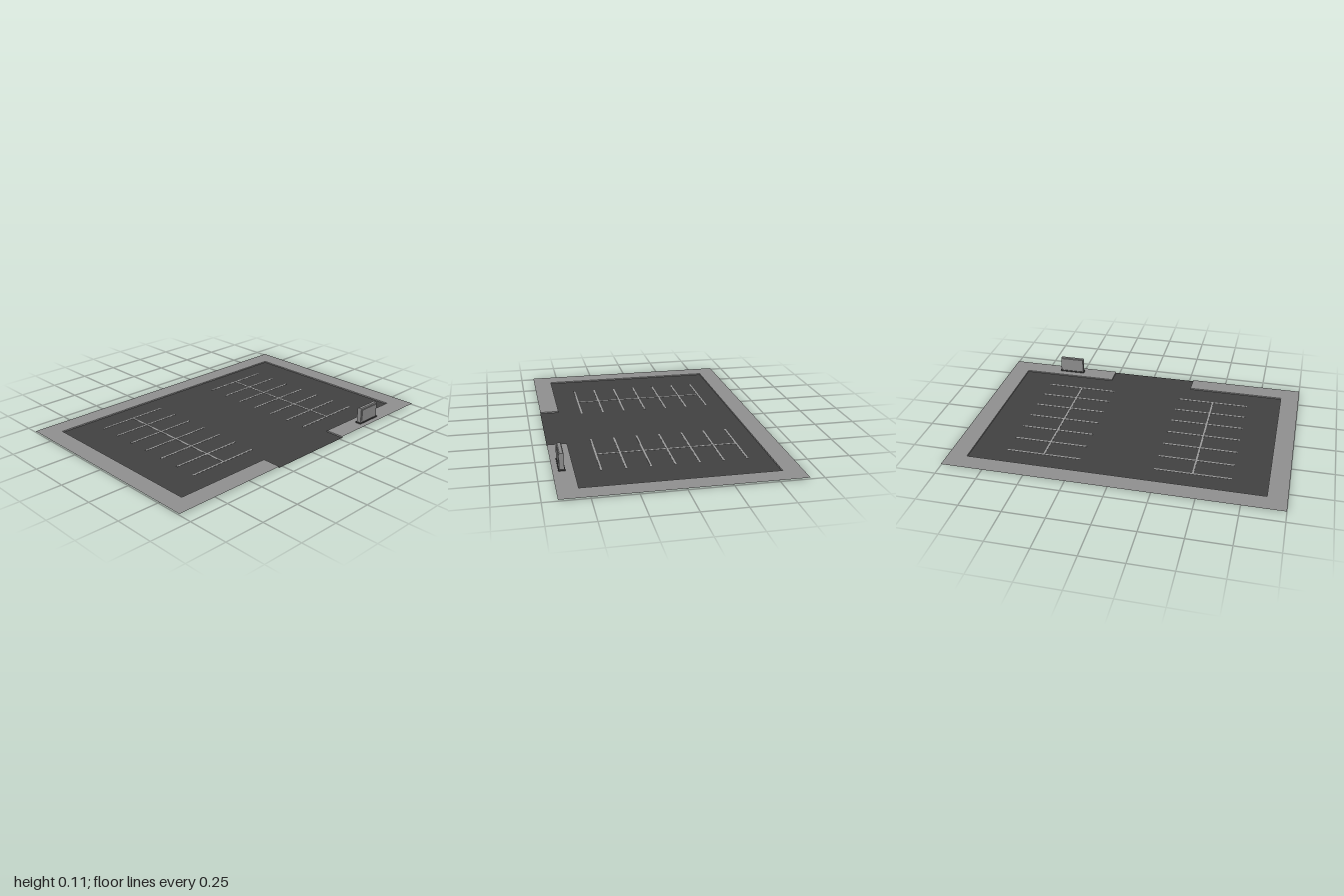
import * as THREE from 'three';

export function createModel() {
  const lot = new THREE.Group();
  lot.name = 'parkingLot';

  const material = (name, color, side = THREE.FrontSide) => {
    const m = new THREE.MeshStandardMaterial({ color, side });
    m.name = name;
    return m;
  };
  const concrete = material('concrete', 0x8e8e8e, THREE.DoubleSide);
  const asphalt = material('asphalt', 0x404040, THREE.DoubleSide);
  const paint = material('linePaint', 0x989898);
  const stone = material('signStone', 0x8a8a8a);
  const dark = material('signBase', 0x404040);

  const add = (parent, name, geometry, mat, x = 0, y = 0, z = 0) => {
    const mesh = new THREE.Mesh(geometry, mat);
    mesh.name = name;
    mesh.position.set(x, y, z);
    parent.add(mesh);
    return mesh;
  };
  // Flat sheet from [x, z] corners, facing up
  const sheet = (points) => {
    const shape = new THREE.Shape(points.map(([x, z]) => new THREE.Vector2(x, -z)));
    return new THREE.ShapeGeometry(shape).rotateX(-Math.PI / 2);
  };

  const X = 0.885, BACK = -0.555, FRONT = 0.55, EDGE_Z = 0.667, GATE = 0.276, KERB = 0.008;
  // Kerb line from one side of the entrance, around the lot, to the other
  const kerbLine = [
    [GATE, EDGE_Z], [GATE, FRONT], [X, FRONT], [X, BACK],
    [-X, BACK], [-X, FRONT], [-GATE, FRONT], [-GATE, EDGE_Z],
  ];

  // Sunken driving surface with the raised pavement around it
  add(lot, 'asphaltSurface', sheet(kerbLine), asphalt);
  const outer = [[-1, EDGE_Z], [-1, -EDGE_Z], [1, -EDGE_Z], [1, EDGE_Z]];
  add(lot, 'pavement', sheet([...kerbLine, ...outer]), concrete, 0, KERB, 0);

  // Kerb faces
  for (let i = 0; i < kerbLine.length - 1; i++) {
    const [x0, z0] = kerbLine[i], [x1, z1] = kerbLine[i + 1];
    const face = add(lot, 'kerbFace', new THREE.PlaneGeometry(Math.hypot(x1 - x0, z1 - z0), KERB),
      concrete, (x0 + x1) / 2, KERB / 2, (z0 + z1) / 2);
    face.rotation.y = Math.atan2(z0 - z1, x1 - x0);
  }

  // Two double rows of parking bays
  const ROWS = 7, FIRST = -0.425, STEP = 0.138, LINE = 0.01;
  for (const side of [-1, 1]) {
    const bays = new THREE.Group();
    bays.name = side > 0 ? 'leftBays' : 'rightBays';
    bays.position.x = side * 0.449;
    lot.add(bays);
    const length = STEP * (ROWS - 1);
    add(bays, 'centreLine', new THREE.BoxGeometry(LINE, 0.001, length), paint, 0, 0.001, FIRST + length / 2);
    for (let i = 0; i < ROWS; i++) {
      add(bays, 'bayLine', new THREE.BoxGeometry(0.453, 0.001, LINE), paint, 0, 0.0012, FIRST + i * STEP);
    }
  }

  // Entrance sign: plinth, slab with softened top edges, raised front panel
  const sign = new THREE.Group();
  sign.name = 'entranceSign';
  sign.position.set(0.577, KERB, 0.615);
  lot.add(sign);
  add(sign, 'plinth', new THREE.BoxGeometry(0.168, 0.007, 0.038), dark, 0, 0.0035, 0);
  const h = 0.1, d = 0.014, c = 0.005;
  const profile = new THREE.Shape([[-d, 0], [d, 0], [d, h - c], [d - c, h], [c - d, h], [-d, h - c]]
    .map(([x, y]) => new THREE.Vector2(x, y)));
  const slab = new THREE.ExtrudeGeometry(profile, { depth: 0.156, bevelEnabled: false });
  slab.translate(0, 0, -0.078).rotateY(Math.PI / 2);
  add(sign, 'signSlab', slab, stone);
  add(sign, 'signPanel', new THREE.BoxGeometry(0.138, 0.068, 0.005), stone, 0, 0.056, 0.0155);

  return lot;
}
